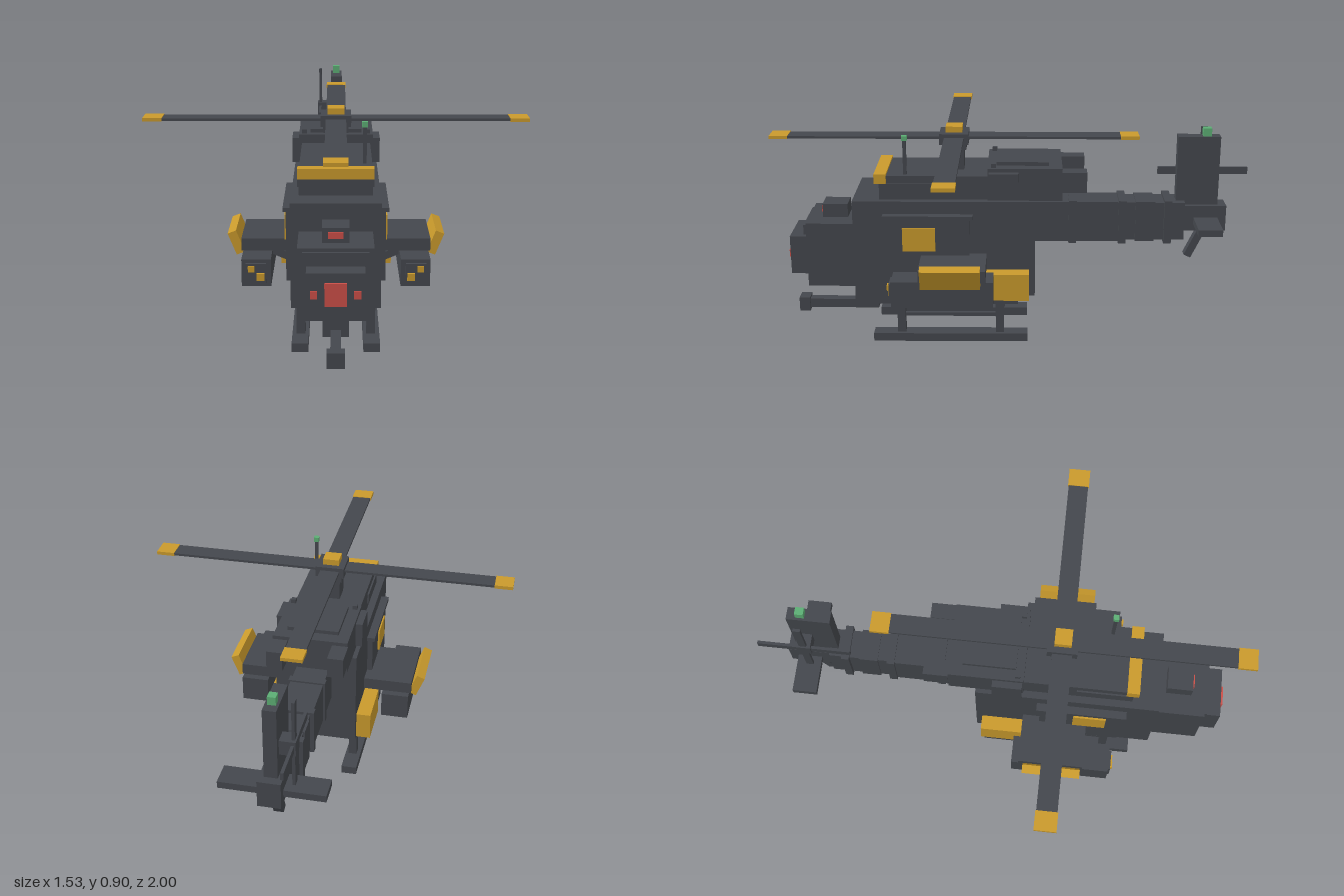
import * as THREE from 'three';

const mat = (name, color) => {
  const m = new THREE.MeshStandardMaterial({ color });
  m.name = name;
  return m;
};

export function createModel() {
  const dark = mat('gunmetal', 0x44474d);
  const gold = mat('gold', 0xc99a2c);
  const red = mat('red', 0xcc4f48);
  const green = mat('green', 0x5cae74);

  const root = new THREE.Group();
  root.name = 'helicopter';

  // Box given by its extents on each axis
  function box(name, m, x0, x1, y0, y1, z0, z1, parent = root) {
    const mesh = new THREE.Mesh(new THREE.BoxGeometry(x1 - x0, y1 - y0, z1 - z0), m);
    mesh.position.set((x0 + x1) / 2, (y0 + y1) / 2, (z0 + z1) / 2);
    mesh.name = name;
    parent.add(mesh);
    return mesh;
  }
  // Box centred on x = 0
  const mid = (name, m, w, ...r) => box(name, m, -w, w, ...r);
  // Box repeated on both sides
  function pair(name, m, x0, x1, ...r) {
    box(name + 'Left', m, x0, x1, ...r);
    box(name + 'Right', m, -x1, -x0, ...r);
  }

  // Fuselage
  mid('body', dark, 0.17, 0.21, 0.62, -0.10, 0.65);
  mid('belly', dark, 0.14, 0.157, 0.21, -0.03, 0.57);
  mid('bellyLight', green, 0.018, 0.148, 0.157, 0.27, 0.305);

  // Nose and sensors
  mid('nose', dark, 0.138, 0.237, 0.513, 0.65, 0.85);
  mid('noseBrow', dark, 0.12, 0.46, 0.50, 0.85, 0.863);
  mid('nosePlate', dark, 0.105, 0.28, 0.445, 0.85, 0.925);
  mid('noseLens', red, 0.04, 0.325, 0.41, 0.925, 0.938);
  pair('noseLamp', red, 0.065, 0.09, 0.35, 0.38, 0.925, 0.932);
  mid('sensorBox', dark, 0.05, 0.513, 0.57, 0.685, 0.79);
  mid('sensorEye', red, 0.027, 0.53, 0.555, 0.79, 0.797);

  // Chin gun
  mid('gunMount', dark, 0.05, 0.10, 0.17, 0.57, 0.67);
  mid('gunNeck', dark, 0.035, 0.157, 0.235, 0.56, 0.65);
  mid('gunBarrel', dark, 0.02, 0.09, 0.128, 0.67, 0.87);
  mid('gunMuzzle', dark, 0.033, 0.078, 0.138, 0.87, 0.915);

  // Roof deck and engines
  mid('roofDeck', dark, 0.14, 0.62, 0.72, 0.09, 0.54);
  pair('roofPanel', dark, 0.14, 0.147, 0.645, 0.69, 0.31, 0.51);
  mid('roofVisor', gold, 0.145, 0.688, 0.728, 0.51, 0.56);
  mid('engine', dark, 0.152, 0.62, 0.755, -0.21, 0.095);
  mid('engineCover', dark, 0.105, 0.755, 0.77, -0.155, 0.06);
  pair('coverLatch', dark, 0.12, 0.14, 0.755, 0.772, 0.06, 0.08);
  pair('intake', dark, 0.152, 0.18, 0.637, 0.74, -0.03, 0.09);
  pair('exhaust', dark, 0.09, 0.155, 0.655, 0.74, -0.31, -0.21);

  // Aerial
  box('aerialRod', dark, 0.104, 0.118, 0.72, 0.862, 0.427, 0.441);
  box('aerialTip', green, 0.1, 0.122, 0.862, 0.882, 0.423, 0.445);

  // Main rotor: two crossed blades
  const rz = 0.235;
  mid('mast', dark, 0.04, 0.72, 0.81, rz - 0.04, rz + 0.04);
  mid('hubLower', dark, 0.05, 0.805, 0.83, rz - 0.05, rz + 0.05);
  mid('hub', dark, 0.06, 0.83, 0.875, rz - 0.06, rz + 0.06);
  mid('hubCap', gold, 0.034, 0.875, 0.9, rz - 0.034, rz + 0.034);
  const rotor = new THREE.Group();
  rotor.name = 'mainRotor';
  rotor.position.set(0, 0.855, rz);
  for (let i = 0; i < 4; i++) {
    const blade = new THREE.Group();
    blade.name = 'rotorBlade' + (i + 1);
    blade.rotation.y = i * Math.PI / 2;
    box('blade', dark, 0, 0.69, -0.005, 0.005, -0.04, 0.04, blade);
    box('bladeTip', gold, 0.687, 0.763, -0.007, 0.007, -0.043, 0.043, blade);
    rotor.add(blade);
  }
  root.add(rotor);

  // Doors and windows
  pair('door', dark, 0.17, 0.192, 0.27, 0.55, 0.17, 0.51);
  pair('doorRail', dark, 0.17, 0.203, 0.55, 0.567, 0.155, 0.525);
  pair('doorWindow', gold, 0.192, 0.2, 0.415, 0.515, 0.31, 0.445);

  // Rear side tanks
  pair('sideTank', gold, 0.17, 0.23, 0.21, 0.325, -0.075, 0.13);

  // Stub wings with weapon pods
  pair('wing', dark, 0.17, 0.375, 0.345, 0.395, 0.10, 0.37);
  pair('pod', dark, 0.253, 0.368, 0.235, 0.345, 0.07, 0.48);
  pair('podFace', dark, 0.272, 0.352, 0.25, 0.33, 0.48, 0.49);
  pair('podTubeUpper', gold, 0.317, 0.342, 0.297, 0.322, 0.49, 0.498);
  pair('podTubeLower', gold, 0.278, 0.308, 0.262, 0.292, 0.49, 0.498);
  for (const s of [1, -1]) {
    const side = s > 0 ? 'Left' : 'Right';
    const plate = box('wingTip' + side, gold, -0.018, 0.018, -0.047, 0.047, 0.12, 0.36);
    plate.position.set(s * 0.396, 0.375, 0.24);
    plate.rotation.z = -s * 0.38;
    const strut = box('wingStrut' + side, dark, -0.06, 0.06, -0.015, 0.015, 0.16, 0.31);
    strut.position.set(s * 0.21, 0.308, 0.235);
    strut.rotation.z = s * 0.4;
  }

  // Landing skids
  pair('skid', dark, 0.107, 0.172, 0, 0.035, -0.07, 0.58);
  pair('skidBar', dark, 0.13, 0.146, 0.105, 0.12, 0.05, 0.46);
  for (const z of [0.03, 0.445]) pair('skidLeg', dark, 0.12, 0.155, 0.035, 0.21, z, z + 0.034);

  // Tail boom with rings
  mid('boomFront', dark, 0.067, 0.415, 0.587, -0.46, -0.10);
  mid('boomRear', dark, 0.06, 0.42, 0.583, -0.725, -0.46);
  mid('boomCollar', dark, 0.066, 0.415, 0.588, -0.6, -0.52);
  for (const z of [-0.257, -0.465, -0.655]) {
    mid('boomRing', dark, 0.075, 0.408, 0.594, z - 0.016, z + 0.016);
  }

  // Tail fin, stabiliser and tail bumper
  mid('tailBlock', dark, 0.045, 0.455, 0.565, -0.9, -0.72);
  mid('fin', dark, 0.026, 0.565, 0.857, -0.865, -0.69);
  mid('finLight', green, 0.016, 0.857, 0.89, -0.828, -0.793);
  mid('stabiliser', dark, 0.205, 0.485, 0.513, -0.865, -0.765);
  const bumper = mid('tailBumper', dark, 0.02, -0.065, 0.065, -0.016, 0.016);
  bumper.position.set(0, 0.39, -0.777);
  bumper.rotation.x = -0.44;

  // Tail rotor on the right side
  box('tailRotorHub', dark, -0.088, -0.02, 0.655, 0.715, -0.84, -0.78);
  box('tailRotorBladeUpright', dark, -0.082, -0.07, 0.495, 0.875, -0.826, -0.796);
  box('tailRotorBladeLevel', dark, -0.082, -0.07, 0.67, 0.7, -1, -0.62);

  return root;
}
